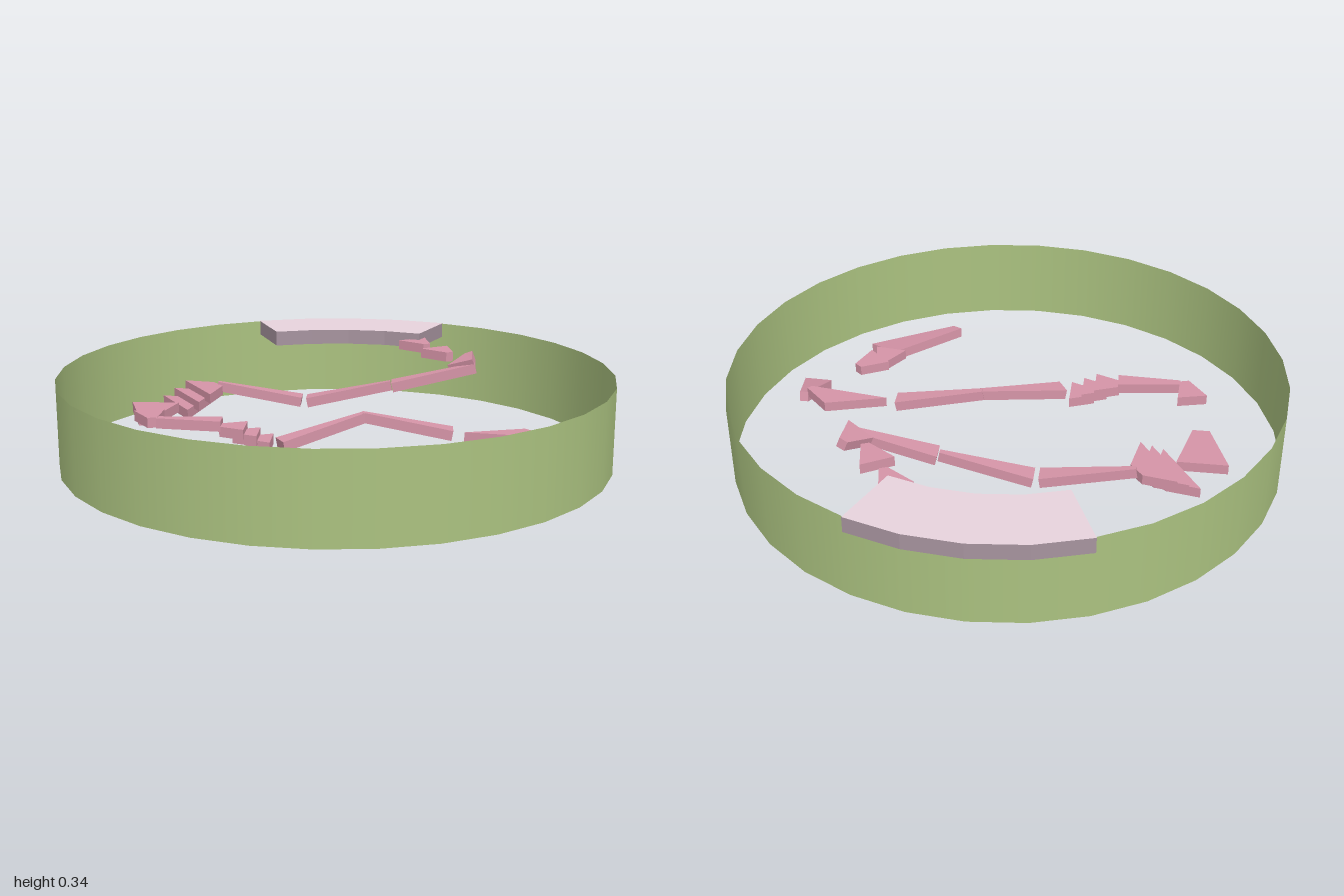
import * as THREE from 'three';

const THICK = 0.037;

export function createModel() {
  const model = new THREE.Group();
  const paint = (name, color, side = THREE.FrontSide) => {
    const m = new THREE.MeshStandardMaterial({ color, side });
    m.name = name;
    return m;
  };
  const wallGreen = paint('wallGreen', 0xabc280, THREE.DoubleSide);
  const trackPink = paint('trackPink', 0xd594a7);
  const undersideDark = paint('undersideDark', 0x625659);
  const platformGrey = paint('platformGrey', 0xe9d5df);
  const platformEdge = paint('platformEdge', 0xa7949f);

  const add = (name, geometry, material) => {
    const mesh = new THREE.Mesh(geometry, material);
    mesh.name = name;
    model.add(mesh);
    return mesh;
  };

  // Four-cornered slab: top corners [x, y, z], thickened along its own normal, dark underneath
  const slab = (name, corners) => {
    let top = corners.map((c) => new THREE.Vector3(...c));
    const n = top[2].clone().sub(top[0]).cross(top[3].clone().sub(top[1])).normalize();
    if (n.y < 0) {
      top = top.reverse();
      n.negate();
    }
    const bottom = top.map((p) => p.clone().addScaledVector(n, -THICK));
    const pos = [];
    const quad = (a, b, c, d) => [a, b, c, a, c, d].forEach((p) => pos.push(p.x, p.y, p.z));
    quad(...top);
    for (let i = 0; i < 4; i++) {
      const j = (i + 1) % 4;
      quad(top[i], bottom[i], bottom[j], top[j]);
    }
    quad(...bottom.slice().reverse());
    const g = new THREE.BufferGeometry();
    g.setAttribute('position', new THREE.Float32BufferAttribute(pos, 3));
    g.computeVertexNormals();
    g.addGroup(0, 30, 0);
    g.addGroup(30, 6, 1);
    return add(name, g, [trackPink, undersideDark]);
  };

  // Level slab from plan corners [x, z]
  const tile = (name, y, plan) => slab(name, plan.map(([x, z]) => [x, y, z]));

  // Tapered ramp between two centre points, with a half width at each end
  const ramp = (name, [ax, ay, az], ha, [bx, by, bz], hb) => {
    const l = Math.hypot(bx - ax, bz - az);
    const px = -(bz - az) / l, pz = (bx - ax) / l;
    slab(name, [
      [ax + px * ha, ay, az + pz * ha], [bx + px * hb, by, bz + pz * hb],
      [bx - px * hb, by, bz - pz * hb], [ax - px * ha, ay, az - pz * ha],
    ]);
  };

  // Open ring wall
  add('ringWall', new THREE.CylinderGeometry(0.997, 0.997, 0.311, 32, 1, true), wallGreen).position.y = 0.1865;

  // Curved starting platform on the rim, with darker edges and underside
  const arc = (r, flip) => Array.from({ length: 5 }, (_, i) => {
    const a = (flip ? 2 - i : i - 2) * 0.2;
    return new THREE.Vector2(r * Math.sin(a), r * Math.cos(a));
  });
  const sector = new THREE.Shape([...arc(1.002, true), ...arc(0.752, false)]);
  const platform = new THREE.ExtrudeGeometry(sector, { depth: 0.058, bevelEnabled: false });
  platform.rotateX(-Math.PI / 2);
  add('startPlatform', platform, [platformGrey, platformEdge]).position.y = 0.285;
  const under = new THREE.ShapeGeometry(sector);
  under.rotateX(Math.PI / 2).rotateY(Math.PI);
  add('platformUnderside', under, undersideDark).position.y = 0.283;

  // Stepping tiles leading off the platform
  for (let i = 0; i < 2; i++) {
    const dx = 0.09 * i, dz = 0.134 * i;
    tile('entryTile', 0.317 - 0.004 * i, [
      [0.212 + dx, -0.68 + dz], [0.316 + dx, -0.74 + dz], [0.338 + dx, -0.623 + dz], [0.312 + dx, -0.612 + dz],
    ]);
  }
  slab('bankedTile', [[0.406, 0.28, -0.4], [0.475, 0.31, -0.482], [0.503, 0.322, -0.475], [0.5, 0.314, -0.355]]);

  // Back run of ramps
  ramp('backRamp', [0.51, 0.295, -0.37], 0.014, [0.19, 0.22, -0.366], 0.034);
  ramp('backRamp', [0.185, 0.222, -0.367], 0.01, [-0.14, 0.155, -0.363], 0.034);
  ramp('backRamp', [-0.157, 0.157, -0.363], 0.034, [-0.485, 0.21, -0.36], 0.009);

  // Fanned steps turning to the front
  for (let i = 0; i < 3; i++) {
    const dx = -0.04 * i, dz = 0.021 * i;
    tile('turnStep', 0.2 - 0.026 * i, [
      [-0.626 + dx, -0.41 + dz], [-0.508 + dx, -0.388 + dz], [-0.465 + dx, -0.33 + dz], [-0.492 + dx, -0.19 + dz],
    ]);
  }
  tile('turnTile', 0.155, [[-0.8, -0.23], [-0.62, -0.23], [-0.672, -0.025], [-0.733, -0.025]]);
  tile('turnTile', 0.213, [[-0.717, 0.12], [-0.612, 0.093], [-0.617, 0.205], [-0.65, 0.215]]);

  // Middle run: ramp, arrow steps, two ramps
  ramp('middleRamp', [-0.62, 0.212, 0.2], 0.014, [-0.39, 0.208, 0.195], 0.034);
  for (let i = 0; i < 3; i++) {
    const x = -0.395 + 0.046 * i, y = 0.188 - 0.022 * i;
    ramp('arrowStep', [x, y, 0.2], 0.022, [x + 0.09, y, 0.2], 0.059);
  }
  ramp('middleRamp', [-0.183, 0.145, 0.225], 0.034, [0.106, 0.207, 0.061], 0.012);
  ramp('middleRamp', [0.1, 0.208, 0.06], 0.012, [0.425, 0.15, 0.055], 0.034);

  // Turn at the side, descending to the exit
  tile('sideTile', 0.14, [[0.465, 0.065], [0.685, 0], [0.775, 0.095], [0.76, 0.11]]);
  slab('sideRamp', [[0.772, 0.124, 0.09], [0.803, 0.124, 0.09], [0.83, 0.077, 0.262], [0.725, 0.077, 0.258]]);
  tile('exitTile', 0.11, [[0.52, 0.37], [0.62, 0.317], [0.647, 0.34], [0.605, 0.45]]);
  tile('exitTile', 0.085, [[0.545, 0.4], [0.575, 0.405], [0.6, 0.52], [0.48, 0.505]]);
  slab('exitRamp', [[0.527, 0.073, 0.506], [0.635, 0.058, 0.585], [0.335, 0.037, 0.81], [0.299, 0.042, 0.785]]);

  return model;
}
